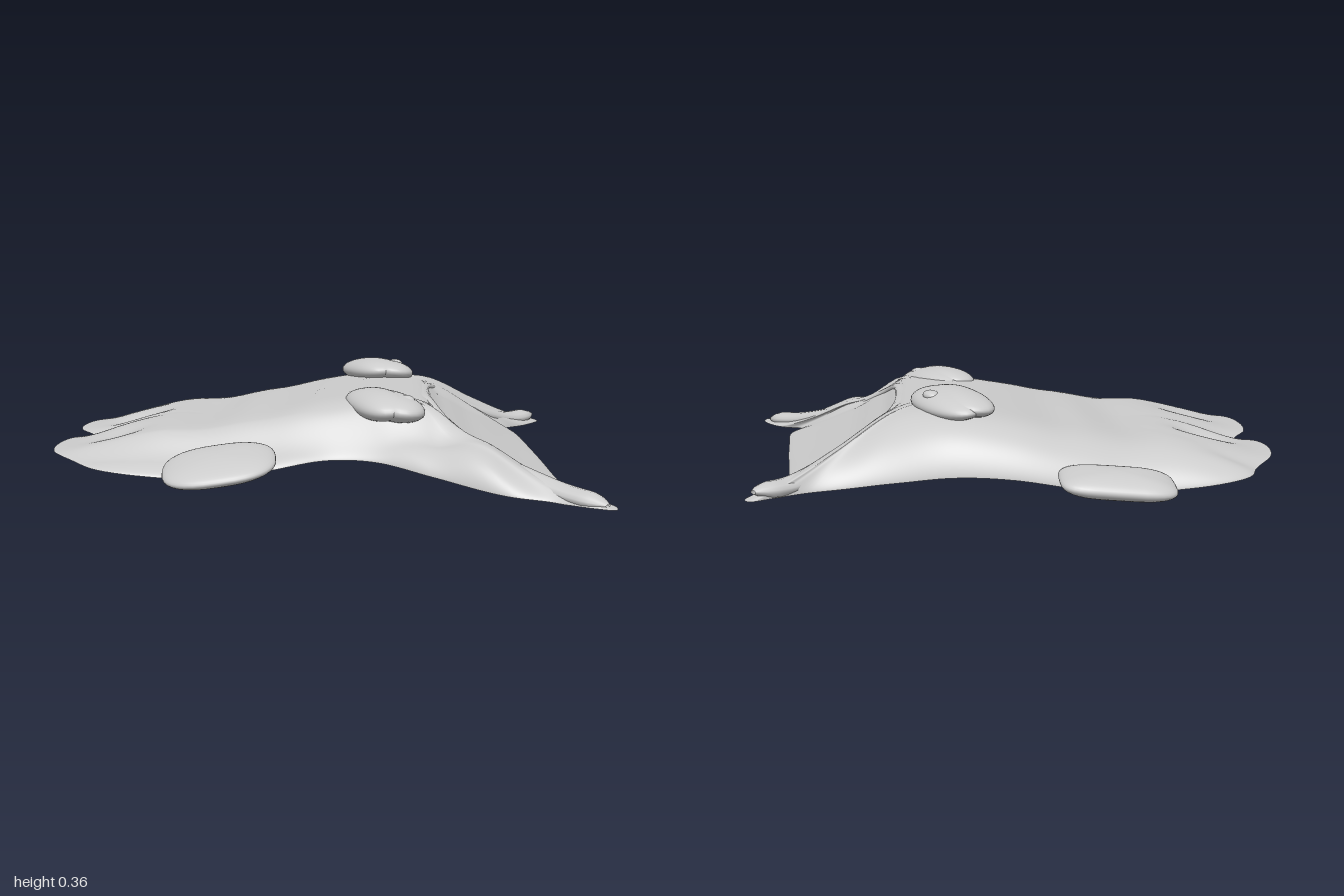
import * as THREE from 'three';

const material = new THREE.MeshStandardMaterial({ color: 0xcccccc, side: THREE.DoubleSide });
const { smoothstep, clamp, lerp } = THREE.MathUtils;

// Smooth lookup in a table of heights spaced every 0.2 from x = -1 to x = 1
function lookup(table, x) {
  const f = clamp((x + 1) / 0.2, 0, 9.999), i = Math.floor(f), t = f - i;
  const at = (j) => table[clamp(j, 0, 10)];
  const m0 = (at(i + 1) - at(i - 1)) / 2, m1 = (at(i + 2) - at(i)) / 2;
  const t2 = t * t, t3 = t2 * t;
  return (2 * t3 - 3 * t2 + 1) * at(i) + (t3 - 2 * t2 + t) * m0 + (3 * t2 - 2 * t3) * at(i + 1) + (t3 - t2) * m1;
}
const BACK = [0.1, 0.15, 0.18, 0.188, 0.22, 0.266, 0.288, 0.272, 0.17, 0.08, 0.03];
const BELLY = [0.09, 0.06, 0.04, 0.03, 0.055, 0.085, 0.088, 0.062, 0.036, 0.024, 0.018];

const bellyY = (x, z) => Math.max(0.002, lookup(BELLY, x) - Math.max(0, x) * z * 0.03);
const bump = (x, z, cx, cz, rx, rz) => Math.exp(-(((x - cx) / rx) ** 2) - ((z - cz) / rz) ** 2);

// Back height: domed body, dimpled and creased tail lobes, sunken face
function backY(x, z, k) {
  const base = bellyY(x, z);
  let h = lookup(BACK, x) - lookup(BELLY, x);
  h -= 0.045 * bump(x, z, -0.77, -0.21, 0.1, 0.08) + 0.025 * bump(x, z, -0.78, 0.24, 0.11, 0.09);
  h -= 0.018 * bump(x, z, -0.94, -0.05, 0.12, 0.08);
  h -= 0.015 * bump(x, z, -0.84, -0.54, 0.14, 0.06);
  h += 0.012 * bump(x, z, -0.28, -0.1, 0.08, 0.5) - 0.01 * bump(x, z, -0.46, -0.1, 0.08, 0.5);
  const w = 0.35 + (x - 0.4) * 0.55;
  const face = smoothstep(w + 0.02 - Math.abs(z - 0.03), 0, 0.07) * smoothstep(x, 0.38, 0.45);
  h -= 0.03 * face * clamp((0.85 - x) / 0.3, 0, 1);
  // The left flank drops to a low skirt, the right flank stays full
  h *= 1 - 0.55 * smoothstep(z, 0.38, 0.53) * (1 - smoothstep(x, 0.4, 0.62));
  const full = smoothstep(-z, 0.2, 0.5) * smoothstep(x, -0.6, -0.3) * (1 - smoothstep(x, 0.2, 0.45));
  return base + Math.max(h, 0.012) * Math.pow(Math.max(0, 1 - k ** (6 + 2 * full)), 0.7);
}

const OUTLINE = [
  [-0.92, -0.05], [-0.98, -0.13], [-1, -0.25], [-0.97, -0.42], [-0.885, -0.56], [-0.84, -0.66], [-0.72, -0.71],
  [-0.4, -0.73], [-0.15, -0.75], [0.2, -0.735], [0.5, -0.7], [0.68, -0.715], [0.8, -0.78], [0.88, -0.83],
  [0.9, -0.78], [0.83, -0.66], [0.74, -0.56], [0.77, -0.48], [0.81, -0.1], [0.84, 0.3], [0.85, 0.55],
  [0.815, 0.65], [0.93, 0.74], [0.995, 0.86], [0.985, 0.925], [0.92, 0.9], [0.79, 0.82], [0.65, 0.79],
  [0.4, 0.65], [0.2, 0.54], [0.05, 0.52], [-0.15, 0.575], [-0.5, 0.61], [-0.78, 0.585], [-0.88, 0.5],
  [-0.97, 0.4], [-1, 0.25], [-0.98, 0.06],
];

// Concentric copies of the outline, raised by a height rule
function shell(name, heightAt, upward) {
  const curve = new THREE.CatmullRomCurve3(OUTLINE.map(([x, z]) => new THREE.Vector3(x, 0, z)), true);
  const N = 304, R = 56, cx = -0.1, cz = -0.04, pos = [], index = [];
  const rim = Array.from({ length: N }, (_, j) => curve.getPoint(j / N));
  for (let i = 0; i <= R; i++) {
    const k = Math.sin((i / R) * Math.PI / 2);
    for (const p of rim) {
      const x = lerp(cx, p.x, k), z = lerp(cz, p.z, k);
      pos.push(x, heightAt(x, z, k), z);
    }
  }
  for (let i = 0; i < R; i++) for (let j = 0; j < N; j++) {
    const a = i * N + j, b = i * N + (j + 1) % N, c = a + N, d = b + N;
    if (upward) index.push(a, d, c, a, b, d);
    else index.push(a, c, d, a, d, b);
  }
  const g = new THREE.BufferGeometry();
  g.setAttribute('position', new THREE.Float32BufferAttribute(pos, 3));
  g.setIndex(index);
  g.computeVertexNormals();
  const mesh = new THREE.Mesh(g, material);
  mesh.name = name;
  return mesh;
}

// Tube whose radius follows a rule along its path, flattened in y
function taperedTube(name, points, radiusAt, flat) {
  const curve = new THREE.CatmullRomCurve3(points.map((p) => new THREE.Vector3(...p)));
  const S = 90, g = new THREE.TubeGeometry(curve, S, 1, 14);
  const p = g.attributes.position, v = new THREE.Vector3();
  for (let i = 0; i < p.count; i++) {
    const u = Math.floor(i / 15) / S, c = curve.getPointAt(u);
    v.fromBufferAttribute(p, i).sub(c).multiplyScalar(radiusAt(u));
    p.setXYZ(i, c.x + v.x, Math.max(0.001, c.y + v.y * flat), c.z + v.z);
  }
  g.computeVertexNormals();
  const mesh = new THREE.Mesh(g, material);
  mesh.name = name;
  return mesh;
}

// Ellipsoid; power below 1 squares off its plan, taper narrows its -z end
function blob(name, size, position, rotation = [0, 0, 0], power = 1, taper = 0) {
  const g = new THREE.SphereGeometry(1, 36, 24), p = g.attributes.position;
  const sq = (a) => Math.sign(a) * Math.abs(a) ** power;
  for (let i = 0; i < p.count; i++) {
    const x = p.getX(i), z = p.getZ(i), r = Math.hypot(x, z) || 1, s = 1 + taper * z;
    p.setXYZ(i, sq(x / r) * r * size[0] * s, p.getY(i) * size[1] * s, sq(z / r) * r * size[2]);
  }
  g.computeVertexNormals();
  const mesh = new THREE.Mesh(g, material);
  mesh.name = name;
  mesh.position.set(...position);
  mesh.rotation.set(...rotation);
  return mesh;
}

// Eye bulge with a lid over its tailward side and a small pupil
function eye(name, position, rotation, thickness, pupil) {
  const group = new THREE.Group();
  group.name = name;
  const ball = new THREE.Group();
  ball.position.set(...position);
  ball.rotation.set(...rotation);
  ball.add(blob('eyeball', [0.1, thickness, 0.2], [0.025, -0.004, 0.005], [0, 0, -0.1], 0.95, 0.1));
  ball.add(blob('eyelid', [0.095, thickness, 0.19], [-0.02, 0.002, -0.01], [0, 0, 0.08], 0.85, 0.08));
  group.add(ball, blob('pupil', [0.028, 0.018, 0.04], pupil, rotation));
  return group;
}

export function createModel() {
  const model = new THREE.Group();

  // Body
  model.add(shell('back', backY, true), shell('belly', bellyY, false));

  // Raised lip around the face, running out into both horns
  model.add(taperedTube('lipAndHorns', [
    [0.87, 0.07, -0.805], [0.75, 0.066, -0.68], [0.58, 0.13, -0.51], [0.44, 0.225, -0.4], [0.39, 0.255, -0.27],
    [0.375, 0.26, 0], [0.39, 0.255, 0.22], [0.44, 0.21, 0.36], [0.6, 0.11, 0.54], [0.8, 0.035, 0.73], [0.965, 0.01, 0.89],
  ], (u) => {
    const e = Math.min(u, 1 - u);
    return Math.sqrt(smoothstep(e, -0.006, 0.04)) * (0.054 - 0.026 * smoothstep(e, 0.12, 0.32));
  }, 0.55));

  // Eyes
  model.add(eye('rightEye', [0.19, 0.305, -0.435], [-0.06, 0.42, 0], 0.047, [0.27, 0.33, -0.44]));
  model.add(eye('leftEye', [0.225, 0.266, 0.345], [0.07, 0.4, 0], 0.05, [0.31, 0.288, 0.395]));

  // Side fins
  model.add(blob('rightFin', [0.2, 0.045, 0.125], [-0.35, 0.085, -0.81], [-0.12, 0, 0.08], 0.5));
  model.add(blob('leftFin', [0.2, 0.042, 0.185], [-0.34, 0.09, 0.65], [0.17, 0.12, 0.12], 0.75));

  return model;
}
